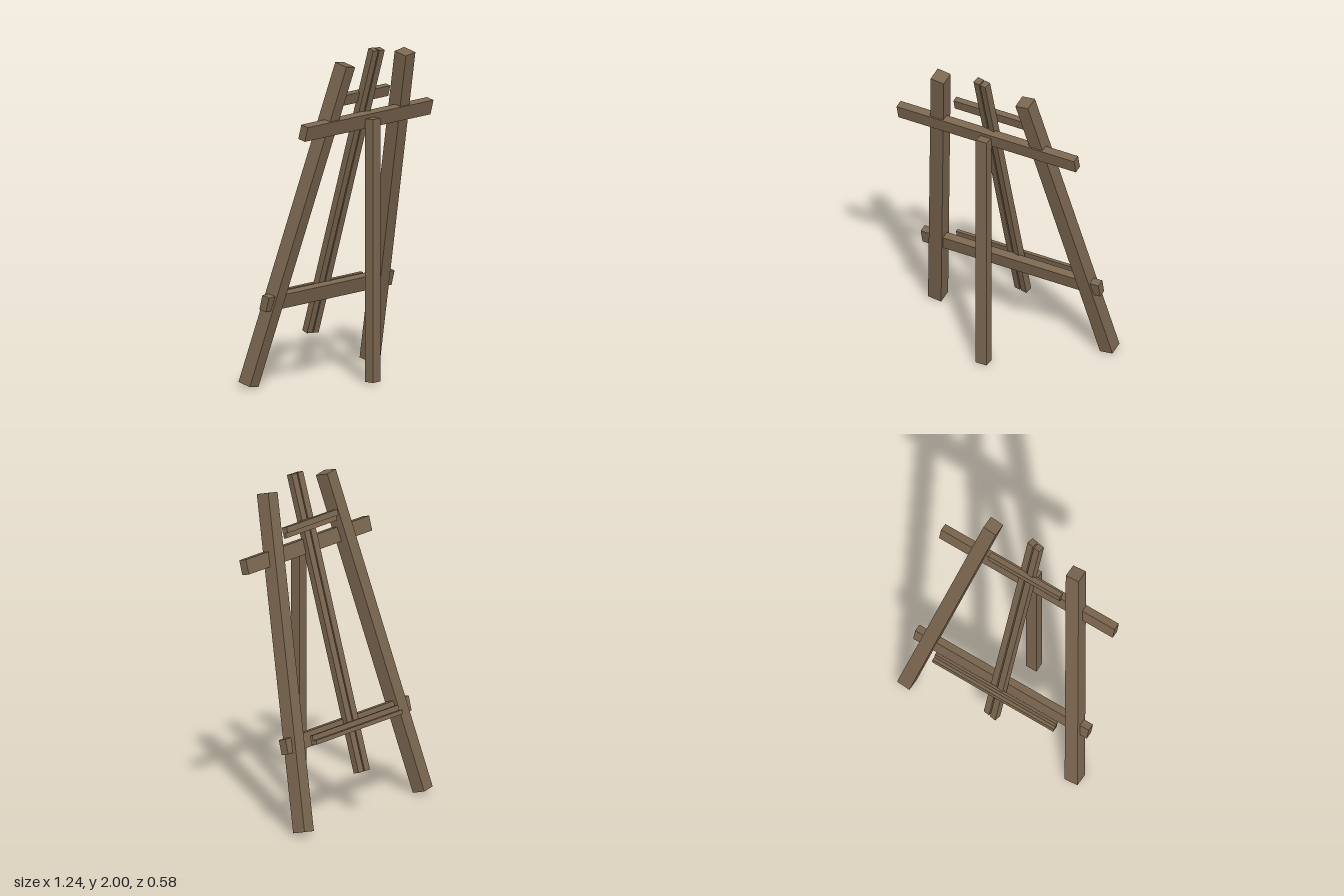
import * as THREE from 'three';

export function createModel() {
  const easel = new THREE.Group();
  easel.name = 'easel';
  const wood = new THREE.MeshStandardMaterial({ color: 0x7b6750 });
  wood.name = 'brown wood';

  const lean = 0.251;      // backward lean of legs and crossbars
  const mastLean = 0.277;  // the mast leans a little more

  function add(name, geometry, position, rotation = [0, 0, 0], parent = easel) {
    const mesh = new THREE.Mesh(geometry, wood);
    mesh.name = name;
    mesh.position.set(...position);
    mesh.rotation.set(...rotation);
    parent.add(mesh);
    return mesh;
  }
  const box = (w, h, d) => new THREE.BoxGeometry(w, h, d);

  // Splayed main legs, mirrored
  for (const [side, name] of [[1, 'leftLeg'], [-1, 'rightLeg']]) {
    add(name, box(0.087, 2.004, 0.087), [side * 0.431, 0.978, -0.001], [lean, 0, side * 0.147]);
  }

  // Upright rear leg
  add('rearLeg', box(0.072, 1.57, 0.062), [-0.004, 0.793, 0.231]);

  // Crossbars
  add('upperCrossbar', box(1.195, 0.09, 0.05), [-0.002, 1.565, 0.178], [lean, 0, 0]);
  add('lowerCrossbar', box(1.195, 0.09, 0.05), [-0.002, 0.517, -0.113], [lean, 0, 0]);

  // Central mast: two rails with a narrow slot, twisted slightly about its axis
  const mast = new THREE.Group();
  mast.name = 'mast';
  mast.position.set(-0.001, 1.125, 0.01);
  mast.rotation.set(mastLean, -0.19, 0);
  easel.add(mast);
  for (const side of [1, -1]) {
    add('mastRail', box(0.041, 1.806, 0.045), [side * 0.0245, 0, 0], [0, 0, 0], mast);
  }

  // L-shaped holders; profile x points toward the canvas, y points up
  function holder(name, profile, width, position) {
    const shape = new THREE.Shape(profile.map(([x, y]) => new THREE.Vector2(x, y)));
    const geometry = new THREE.ExtrudeGeometry(shape, { depth: width, bevelEnabled: false });
    geometry.translate(0, 0, -width / 2);
    geometry.rotateY(Math.PI / 2);
    add(name, geometry, position, [lean, 0, 0]);
  }
  holder('canvasTray',
    [[0, 0], [0.04, 0], [0.04, 0.025], [0.018, 0.025], [0.018, 0.056], [0, 0.056]],
    0.835, [0.002, 0.503, -0.187]);
  holder('canvasClamp',
    [[0, 0], [0.018, 0], [0.018, 0.03], [0.036, 0.03], [0.036, 0.065], [0, 0.065]],
    0.492, [0.002, 1.668, 0.148]);

  return easel;
}
